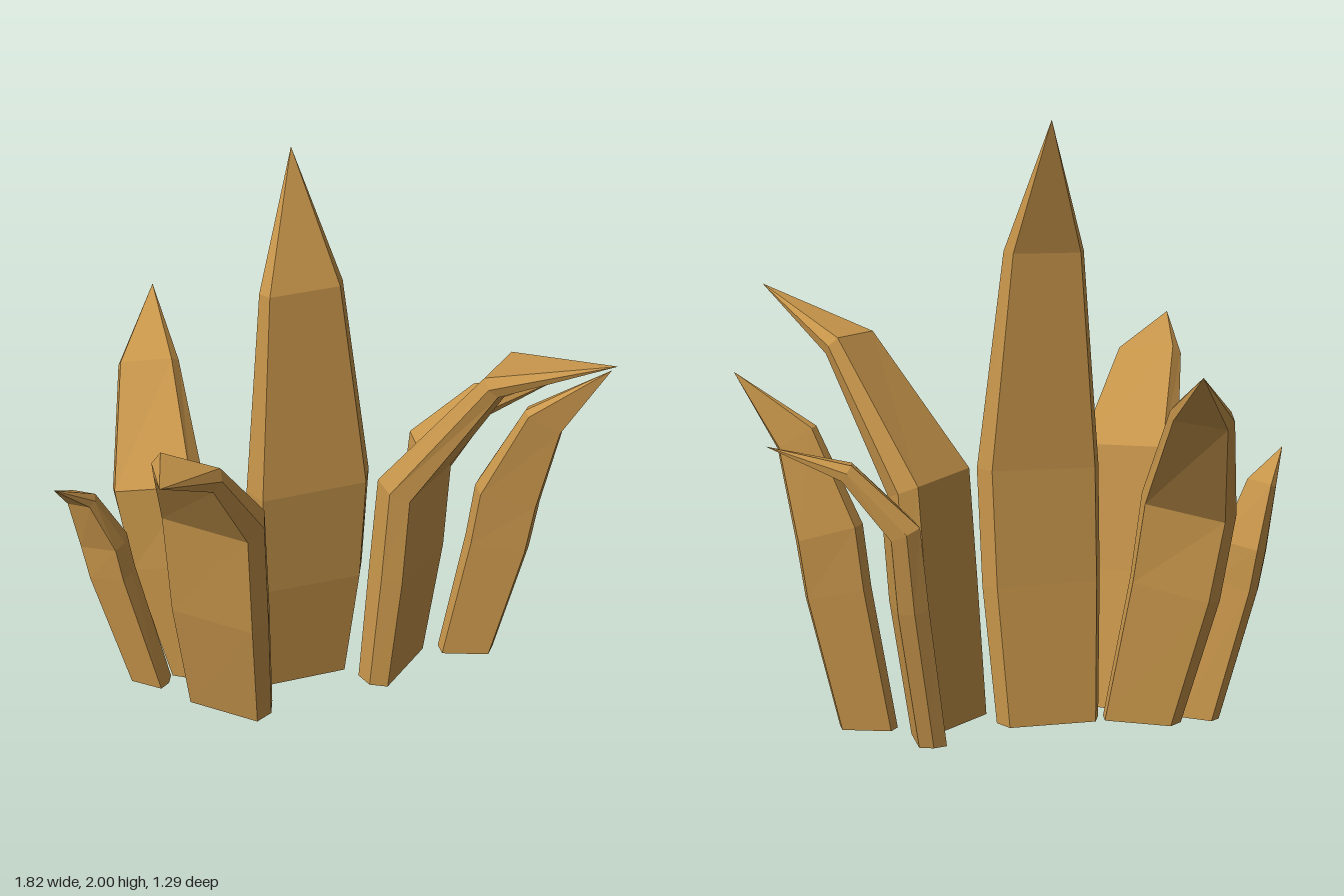
import * as THREE from 'three';

// Six-sided blade section: [across the width, through the thickness]
const SECTION = [[0.5, 0], [0.42, 0.5], [-0.42, 0.5], [-0.5, 0], [-0.42, -0.5], [0.42, -0.5]];

// All blades kink at this height on the way from base to shoulder
const KINK_HEIGHT = 0.46;

// Blade through base, kink, shoulder and neck to a pointed tip.
// angle turns the width direction about the vertical axis (0 = along x).
function bladeGeometry({ angle, width, base, shoulder, neck, tip }) {
  const [foot, bend, throat, end] = [[base[0], 0, base[1]], shoulder, neck, tip]
    .map((p) => new THREE.Vector3(...p));
  // The kink bulges slightly outward
  const kink = foot.clone().lerp(bend, (KINK_HEIGHT / bend.y) ** 0.7).setY(KINK_HEIGHT);
  const spine = [foot, kink, bend, throat, end];

  // Widths and thicknesses follow the shoulder width
  const thickness = 0.05 + 0.23 * width;
  const widths = [0.84, 0.97, 1, 0.65].map((f) => f * width);
  const depths = [0.9, 1, 1, 0.58].map((f) => f * thickness);

  const across = new THREE.Vector3(Math.cos(angle), 0, Math.sin(angle));
  const rings = widths.map((w, i) => {
    const tangent = i === 0
      ? new THREE.Vector3(0, 1, 0)
      : spine[i + 1].clone().sub(spine[i - 1]).normalize();
    const u = across.clone().addScaledVector(tangent, -across.dot(tangent)).normalize();
    const n = tangent.clone().cross(u);
    return SECTION.map(([a, b]) =>
      spine[i].clone().addScaledVector(u, a * w).addScaledVector(n, b * depths[i]));
  });

  // Flat sides and pointed top; the underside stays open
  const positions = [];
  const triangle = (...corners) => corners.forEach((p) => positions.push(p.x, p.y, p.z));
  const last = rings.length - 1;
  for (let j = 0; j < SECTION.length; j++) {
    const k = (j + 1) % SECTION.length;
    for (let i = 0; i < last; i++) {
      triangle(rings[i][j], rings[i][k], rings[i + 1][k]);
      triangle(rings[i][j], rings[i + 1][k], rings[i + 1][j]);
    }
    triangle(rings[last][j], rings[last][k], end);
  }
  const geometry = new THREE.BufferGeometry();
  geometry.setAttribute('position', new THREE.Float32BufferAttribute(positions, 3));
  geometry.computeVertexNormals();
  return geometry;
}

// base is [x, z] on the ground; the other points are [x, y, z]
const BLADES = [
  { name: 'centralBlade', angle: -0.05, width: 0.42, base: [-0.1, -0.01],
    shoulder: [-0.085, 0.85, 0.08], neck: [-0.1, 1.57, 0.065], tip: [-0.1, 2, -0.05] },
  { name: 'frontRightBlade', angle: 0.68, width: 0.36, base: [-0.37, 0.115],
    shoulder: [-0.435, 0.87, 0.22], neck: [-0.55, 1.17, 0.4], tip: [-0.68, 1.29, 0.64] },
  { name: 'frontLeftBlade', angle: -0.76, width: 0.35, base: [0.22, 0.05],
    shoulder: [0.285, 0.81, 0.07], neck: [0.52, 1.26, 0.25], tip: [0.775, 1.43, 0.555] },
  { name: 'backRightBlade', angle: 0.5, width: 0.32, base: [-0.41, -0.07],
    shoulder: [-0.54, 0.75, -0.16], neck: [-0.51, 1.08, -0.405], tip: [-0.44, 1.24, -0.65] },
  { name: 'backLeftBlade', angle: 1.57, width: 0.22, base: [0.33, -0.16],
    shoulder: [0.42, 0.71, -0.19], neck: [0.59, 0.9, -0.165], tip: [0.84, 0.98, -0.1] },
  { name: 'smallLeftBlade', angle: 0.3, width: 0.23, base: [0.5, 0.03],
    shoulder: [0.62, 0.66, 0.06], neck: [0.715, 0.97, 0.115], tip: [0.91, 1.18, 0.195] },
  { name: 'smallRightBlade', angle: 0.65, width: 0.16, base: [-0.61, -0.08],
    shoulder: [-0.74, 0.59, -0.12], neck: [-0.81, 0.79, -0.09], tip: [-0.91, 0.9, 0] },
];

export function createModel() {
  const group = new THREE.Group();
  group.name = 'bladeCluster';
  const ochre = new THREE.MeshStandardMaterial({ color: 0xc8964b, side: THREE.DoubleSide });
  ochre.name = 'ochre';
  for (const blade of BLADES) {
    const mesh = new THREE.Mesh(bladeGeometry(blade), ochre);
    mesh.name = blade.name;
    group.add(mesh);
  }
  return group;
}
